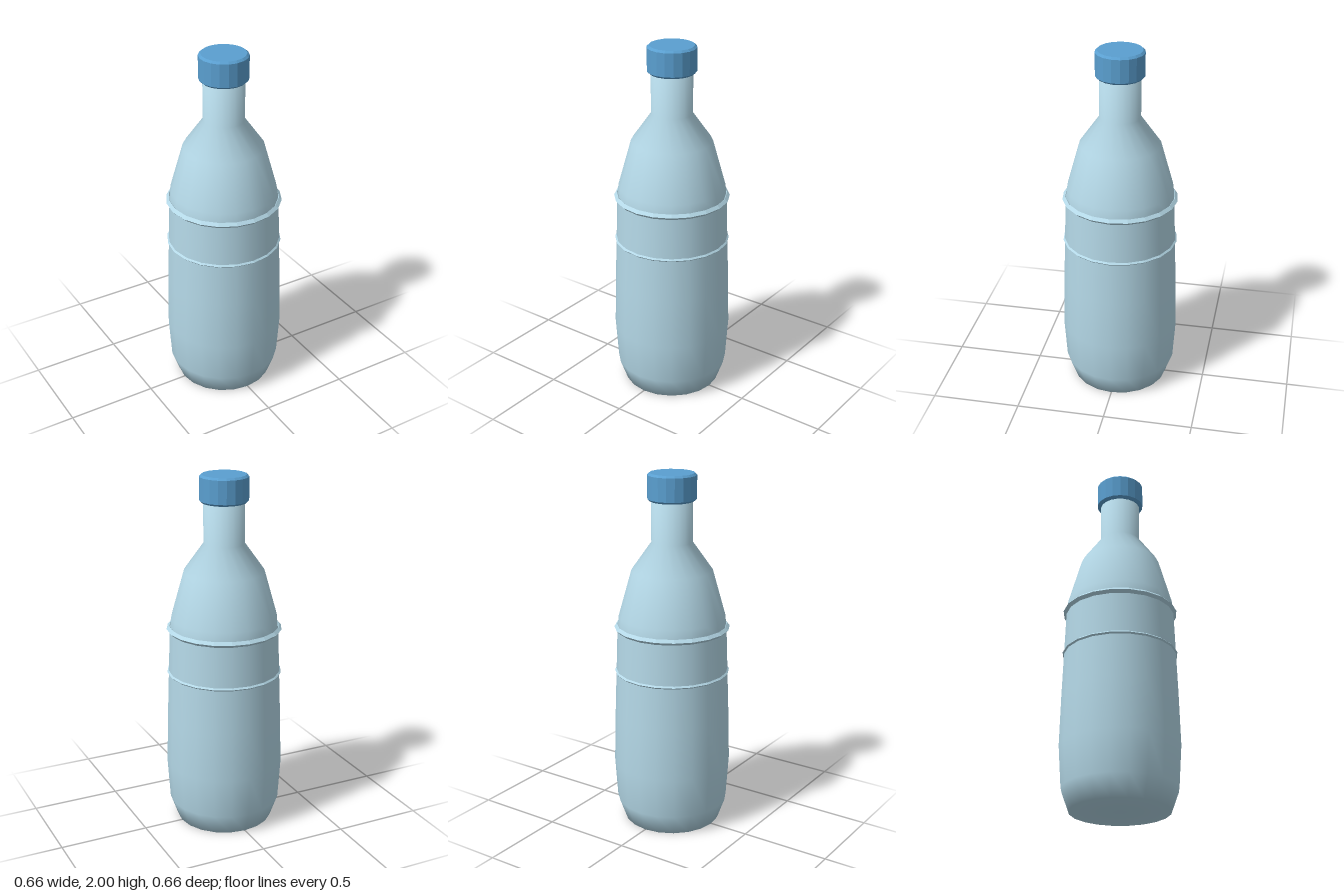
import * as THREE from 'three';

const SIDES = 20;

function lathe(name, profile, sides, material) {
  const points = profile.map(([r, y]) => new THREE.Vector2(r, y));
  const mesh = new THREE.Mesh(new THREE.LatheGeometry(points, sides), material);
  mesh.name = name;
  return mesh;
}

export function createModel() {
  const bottle = new THREE.Group();
  bottle.name = 'bottle';

  const plastic = new THREE.MeshStandardMaterial({ color: 0xb4d8e7 });
  const ringPlastic = new THREE.MeshStandardMaterial({ color: 0xb4d8e7, flatShading: true });
  const capPlastic = new THREE.MeshStandardMaterial({ color: 0x5a9fd0, flatShading: true });

  // Smooth body: flat base, soft belly, shoulder and neck, closed under the cap
  bottle.add(lathe('body', [
    [0, 0], [0.272, 0], [0.315, 0.12], [0.33, 0.35], [0.322, 0.64],
    [0.304, 1.13], [0.296, 1.21], [0.223, 1.47], [0.113, 1.625], [0.113, 1.87], [0, 1.87],
  ], SIDES, plastic));

  // Three grip rings with a diamond section; the lowest barely breaks the surface
  const R = 0.305, t = 0.016;
  [0.639, 0.893, 1.147].forEach((y, i) => {
    const ring = lathe('gripRing' + (i + 1),
      [[R, -t], [R + t, 0], [R, t], [R - t, 0], [R, -t]], SIDES, ringPlastic);
    ring.position.y = y;
    bottle.add(ring);
  });

  // Faceted screw cap with chamfered rims
  bottle.add(lathe('cap', [
    [0, 1.85], [0.122, 1.85], [0.134, 1.861], [0.134, 1.989], [0.122, 2], [0, 2],
  ], 18, capPlastic));

  return bottle;
}
